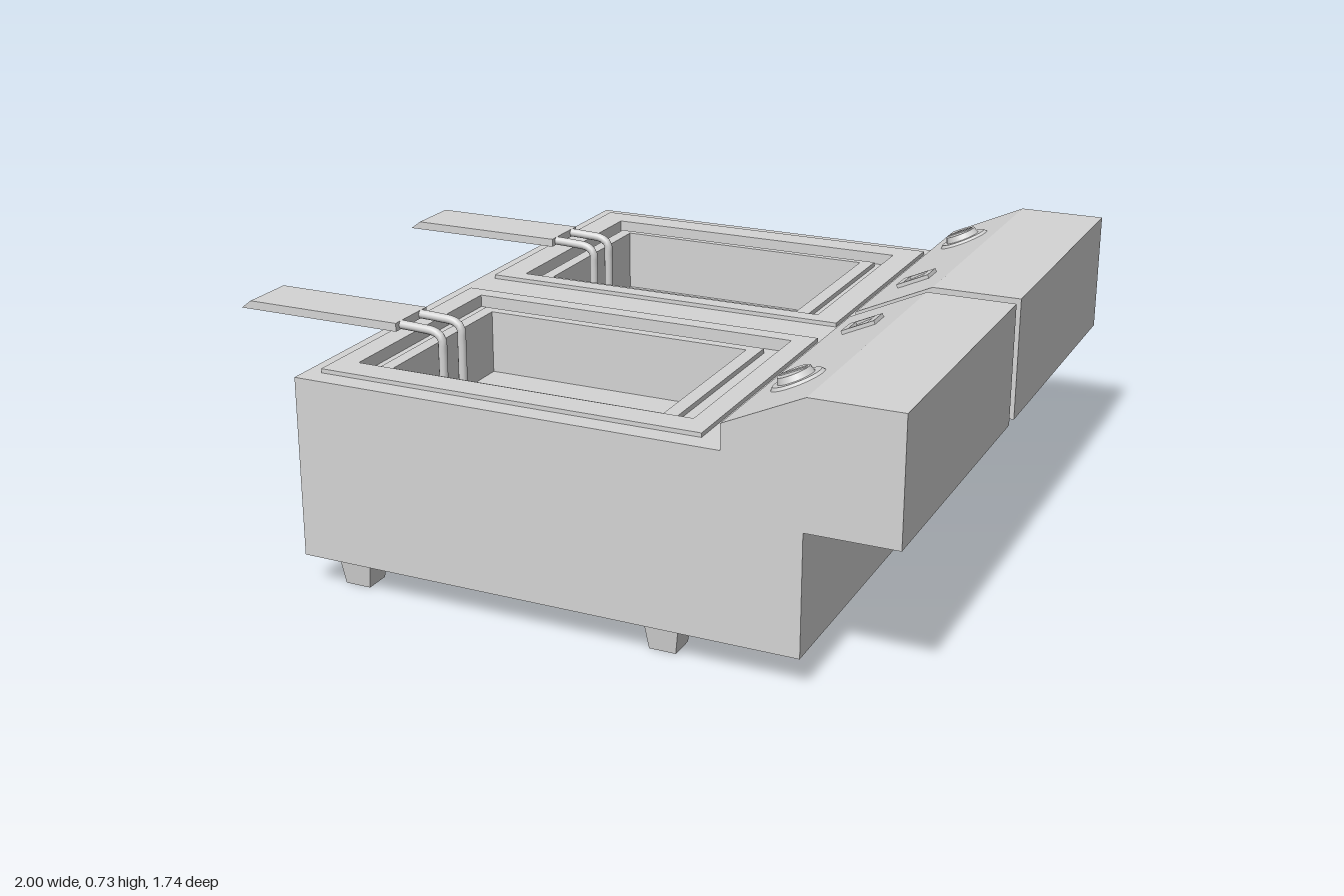
import * as THREE from 'three';

const steel = new THREE.MeshStandardMaterial({ color: 0xd4d4d4 });
steel.name = 'steel grey';

function add(parent, name, geometry, x = 0, y = 0, z = 0) {
  const mesh = new THREE.Mesh(geometry, steel);
  mesh.name = name;
  mesh.position.set(x, y, z);
  parent.add(mesh);
  return mesh;
}

// Rectangle [x0, x1, z0, z1] as counter-clockwise corner points, ready to be laid flat
function corners([x0, x1, z0, z1]) {
  return [[x0, z1], [x1, z1], [x1, z0], [x0, z0]].map(([x, z]) => new THREE.Vector2(x, -z));
}

// Flat slab between two heights, with rectangular holes
function slab(outer, holes, y0, y1) {
  const shape = new THREE.Shape(corners(outer));
  holes.forEach((h) => shape.holes.push(new THREE.Path(corners(h))));
  const g = new THREE.ExtrudeGeometry(shape, { depth: y1 - y0, bevelEnabled: false });
  return g.rotateX(-Math.PI / 2).translate(0, y0, 0);
}

// Side profile in x and y, extruded along z and centred on it
function profile(points, depth) {
  const shape = new THREE.Shape(points.map(([x, y]) => new THREE.Vector2(x, y)));
  return new THREE.ExtrudeGeometry(shape, { depth, bevelEnabled: false }).translate(0, 0, -depth / 2);
}

// Rectangle on the chosen side of the unit
const side = (s, x0, x1, near, far) => (s > 0 ? [x0, x1, near, far] : [x0, x1, -far, -near]);

function createModel() {
  const model = new THREE.Group();
  model.name = 'doubleFryer';
  const floorY = 0.385;
  const deckY = 0.567;
  const footprint = [-0.587, 0.767, -0.87, 0.87];
  const wells = [1, -1].map((s) => side(s, s > 0 ? -0.485 : -0.47, s > 0 ? 0.437 : 0.422, 0.116, 0.736));

  // Housing: closed lower part, upper part open at the wells
  add(model, 'housingBase', slab(footprint, [], 0.085, floorY));
  add(model, 'housingTop', slab(footprint, wells, floorY, deckY));

  // Tapered square feet
  for (const x of [-0.467, 0.395]) {
    for (const z of [-0.782, 0.782]) {
      const g = new THREE.CylinderGeometry(0.067, 0.05, 0.087, 4, 1).rotateY(Math.PI / 4).toNonIndexed();
      g.computeVertexNormals();
      add(model, 'foot', g, x, 0.0435, z);
    }
  }

  [1, -1].forEach((s, i) => {
    const unit = new THREE.Group();
    unit.name = s > 0 ? 'frontFryer' : 'backFryer';
    model.add(unit);

    // Raised frame, sunken ledge and basket walls
    const basketOuter = side(s, -0.45, 0.375, 0.15, 0.708);
    const basketInner = side(s, -0.415, 0.337, 0.18, 0.687);
    add(unit, 'wellFrame', slab(side(s, -0.545, 0.492, 0.068, 0.814), [wells[i]], deckY, 0.578));
    add(unit, 'wellLedge', slab(wells[i], [basketOuter], floorY, 0.545));
    add(unit, 'basketWall', slab(basketOuter, [basketInner], floorY, 0.558));

    // Basket handle with two bent wires
    add(unit, 'handle', profile([[-1, 0.588], [-0.513, 0.588], [-0.513, 0.611], [-0.97, 0.611]], 0.154), 0, 0, s * 0.437);
    for (const z of [0.388, 0.486]) {
      const path = new THREE.CatmullRomCurve3([
        [-0.515, 0.6], [-0.46, 0.598], [-0.41, 0.593], [-0.392, 0.578], [-0.39, 0.54], [-0.39, floorY],
      ].map(([x, y]) => new THREE.Vector3(x, y, s * z)));
      add(unit, 'handleWire', new THREE.TubeGeometry(path, 24, 0.012, 10));
    }

    // Control console with sloping face
    add(unit, 'console', profile([
      [0.562, deckY], [0.767, deckY], [0.767, 0.402], [1, 0.402], [1, 0.727], [0.767, 0.727], [0.562, 0.633],
    ], 0.848), 0, 0, s * 0.446);

    // Controls lie on the slope
    const slope = new THREE.Group();
    slope.name = 'controls';
    slope.position.set(0.6645, 0.68, 0);
    slope.rotation.z = Math.atan2(0.094, 0.205);
    unit.add(slope);

    // Thermostat knob
    const zk = s * 0.647;
    add(slope, 'knobPlate', new THREE.CylinderGeometry(0.062, 0.07, 0.008, 32), -0.004, 0.003, zk);
    add(slope, 'knob', new THREE.CylinderGeometry(0.042, 0.048, 0.018, 24), -0.006, 0.014, zk);
    add(slope, 'knobGrip', new THREE.BoxGeometry(0.07, 0.005, 0.014), -0.006, 0.0235, zk);

    // Rocker switch in its frame
    const zs = s * 0.213;
    add(slope, 'switchFrame', slab([-0.047, 0.047, -0.033, 0.033], [[-0.027, 0.027, -0.027, 0.027]], -0.002, 0.01), 0, 0, zs);
    const rocker = add(slope, 'switchRocker', new THREE.BoxGeometry(0.05, 0.008, 0.05), 0, 0.001, zs);
    rocker.rotation.z = 0.1;
  });

  return model;
}

export { createModel };
